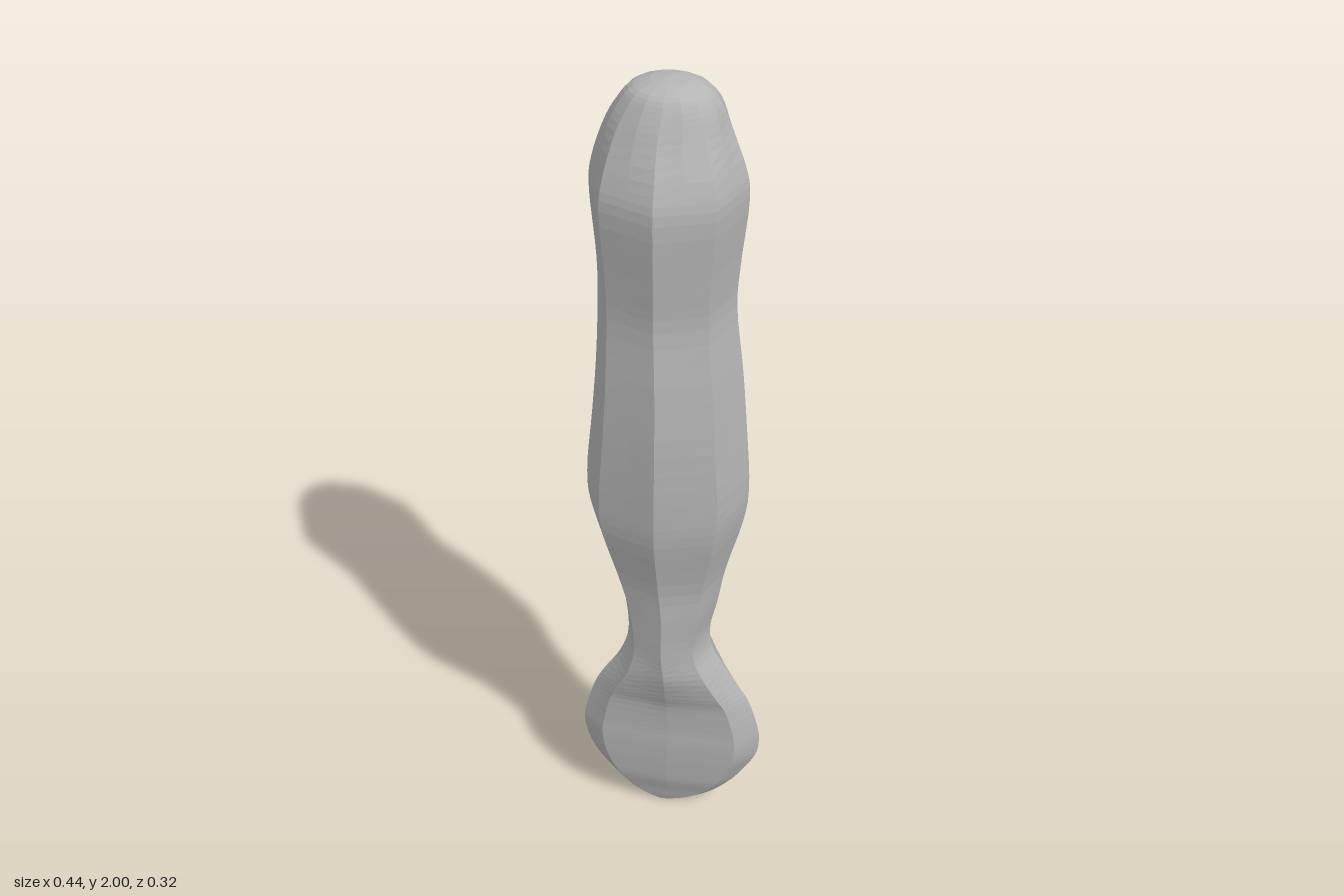
import * as THREE from 'three';

// Cross-sections: height, x min, x max, z min, z max
const SECTIONS = [
  [0, -.035, -.005, -.004, .004], [.02, -.085, .055, -.012, .01], [.05, -.122, .106, -.025, .018],
  [.1, -.165, .154, -.042, .034], [.15, -.197, .186, -.049, .041], [.2, -.215, .212, -.053, .046],
  [.25, -.222, .22, -.055, .049], [.3, -.215, .215, -.056, .05], [.38, -.192, .192, -.062, .058],
  [.43, -.168, .166, -.075, .075], [.5, -.127, .127, -.09, .097], [.56, -.106, .098, -.097, .103],
  [.62, -.104, .094, -.101, .106], [.7, -.115, .11, -.107, .11], [.8, -.143, .127, -.114, .117],
  [.95, -.185, .165, -.143, .15], [1.05, -.191, .175, -.153, .16], [1.2, -.176, .166, -.16, .165],
  [1.35, -.163, .154, -.155, .159], [1.5, -.156, .138, -.141, .145], [1.6, -.157, .142, -.15, .151],
  [1.75, -.168, .157, -.16, .163], [1.82, -.16, .149, -.147, .15], [1.9, -.133, .119, -.112, .112],
  [1.95, -.105, .1, -.085, .088], [1.98, -.08, .076, -.062, .068], [1.995, -.042, .04, -.035, .035],
];
const STEPS = 90, SIDES = 16;

// Smooth interpolation through one column of the section table
function column(index) {
  const curve = new THREE.SplineCurve(SECTIONS.map((s, i) => new THREE.Vector2(i, s[index])));
  return t => curve.getPoint(t).y;
}

// Eight-cornered lofted body, with extra mid-face points that round out at the tip
function bodyGeometry() {
  const [fy, fx0, fx1, fz0, fz1] = [0, 1, 2, 3, 4].map(column);
  const points = [], faces = [];
  for (let i = 0; i <= STEPS; i++) {
    const t = i / STEPS, y = fy(t);
    const x0 = fx0(t), x1 = fx1(t), z0 = fz0(t), z1 = fz1(t);
    const blade = 1 - THREE.MathUtils.smoothstep(y, .3, .6);
    const round = THREE.MathUtils.smoothstep(y, 1.8, 1.97);
    const dx = .715 + .035 * blade, dz = .715 + .13 * blade;
    const corner = k => {
      const a = k * Math.PI / 4, diagonal = k % 2;
      return [
        diagonal ? Math.sign(Math.cos(a)) * dx : Math.round(Math.cos(a)),
        diagonal ? Math.sign(Math.sin(a)) * dz : Math.round(Math.sin(a)),
      ];
    };
    for (let j = 0; j < SIDES; j++) {
      const a = corner(j >> 1), b = corner(((j + 1) >> 1) % 8);
      const swell = j % 2 ? 1 + .08 * round : 1;
      const u = (a[0] + b[0]) / 2 * swell, v = (a[1] + b[1]) / 2 * swell;
      points.push((x0 + x1) / 2 + u * (x1 - x0) / 2, y, (z0 + z1) / 2 + v * (z1 - z0) / 2);
    }
  }
  for (let i = 0; i < STEPS; i++) {
    for (let j = 0; j < SIDES; j++) {
      const a = i * SIDES + j, b = i * SIDES + (j + 1) % SIDES;
      faces.push(a, a + SIDES, b, b, a + SIDES, b + SIDES);
    }
  }
  // End caps
  const bottom = points.length / 3, top = bottom + 1, last = STEPS * SIDES;
  points.push(-.02, 0, 0, 0, 2, 0);
  for (let j = 0; j < SIDES; j++) {
    const n = (j + 1) % SIDES;
    faces.push(bottom, j, n, top, last + n, last + j);
  }
  const geometry = new THREE.BufferGeometry();
  geometry.setAttribute('position', new THREE.Float32BufferAttribute(points, 3));
  geometry.setIndex(faces);
  const flat = geometry.toNonIndexed();
  flat.computeVertexNormals();
  return flat;
}

export function createModel() {
  const group = new THREE.Group();
  const grey = new THREE.MeshStandardMaterial({ color: 0xb4b4b4, flatShading: true });
  grey.name = 'grey';
  const body = new THREE.Mesh(bodyGeometry(), grey);
  body.name = 'handleAndBlade';
  group.add(body);
  return group;
}
